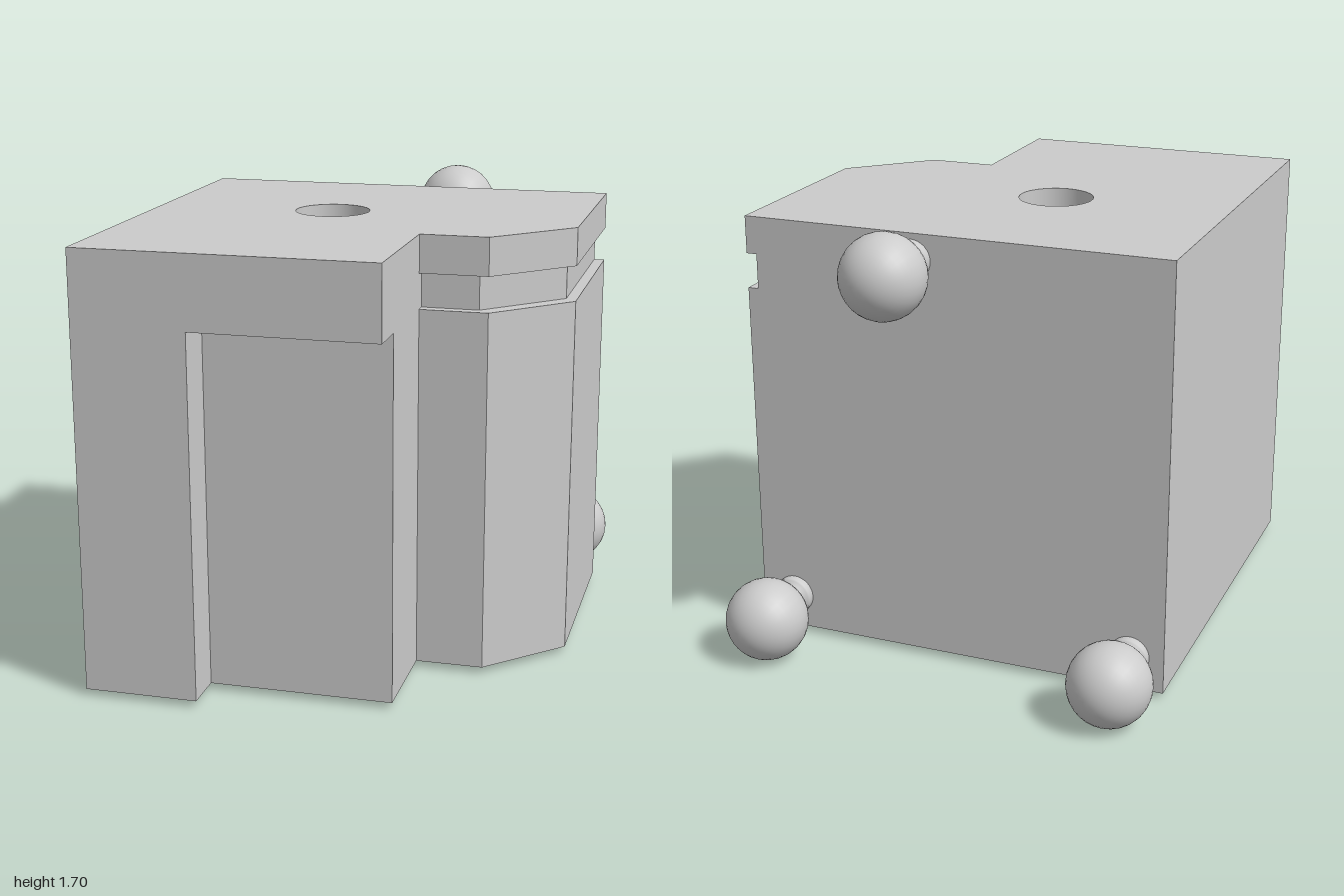
import * as THREE from 'three';

const BASE = 0.03, RECESS = 1.38, GROOVE_TOP = 1.51, TOP = 1.65;
const grey = new THREE.MeshStandardMaterial({ color: 0xcccccc });
const thin = new THREE.MeshStandardMaterial({ color: 0xcccccc, side: THREE.DoubleSide });

// Outlines are [x, z] corners, running from back left round the +x side to the front
const backAndChamfer = [[-0.81, -0.62], [0.81, -0.62], [0.81, 0.19], [0.54, 0.46], [0.29, 0.46]];
const topOutline = [...backAndChamfer, [0.29, 1], [-0.81, 1]];
const lowerOutline = [...backAndChamfer, [0.29, 0.84], [-0.39, 0.84], [-0.39, 1], [-0.81, 1]];
const grooveOutline = [[-0.81, -0.62], [0.77, -0.62], [0.77, 0.15], [0.5, 0.42], [0.29, 0.42], [0.29, 1], [-0.81, 1]];
const ledge = [[0.81, -0.62], [0.81, 0.19], [0.54, 0.46], [0.29, 0.46], [0.29, 0.42], [0.5, 0.42], [0.77, 0.15], [0.77, -0.62]];
const soffit = [[-0.39, 0.84], [0.29, 0.84], [0.29, 1], [-0.39, 1]];

const topHoles = [{ x: -0.14, z: 0.05, r: 0.14, depth: 0.5 }];
const bottomHoles = [
  { x: 0.27, z: -0.08, r: 0.08, depth: 0.4 },
  { x: -0.07, z: 0.33, r: 0.135, depth: 0.5 },
  { x: -0.4, z: -0.08, r: 0.107, depth: 0.4 },
];

function add(parent, name, geometry, material = grey) {
  const mesh = new THREE.Mesh(geometry, material);
  mesh.name = name;
  parent.add(mesh);
  return mesh;
}

// Vertical faces standing on an outline
function wall(outline, y0, y1) {
  const p = [];
  outline.forEach(([ax, az], i) => {
    const [bx, bz] = outline[(i + 1) % outline.length];
    p.push(ax, y0, az, ax, y1, az, bx, y1, bz, ax, y0, az, bx, y1, bz, bx, y0, bz);
  });
  const g = new THREE.BufferGeometry();
  g.setAttribute('position', new THREE.Float32BufferAttribute(p, 3));
  g.computeVertexNormals();
  return g;
}

// Horizontal face filling an outline, facing up (1) or down (-1)
function cap(outline, y, facing, holes = []) {
  const shape = new THREE.Shape(outline.map(([x, z]) => new THREE.Vector2(x, -facing * z)));
  for (const h of holes) {
    shape.holes.push(new THREE.Path().absarc(h.x, -facing * h.z, h.r, 0, Math.PI * 2, true));
  }
  return new THREE.ShapeGeometry(shape, 24).rotateX(-facing * Math.PI / 2).translate(0, y, 0);
}

// Blind drilled hole with a conical end
function drill(parent, name, h, y, dir) {
  const bore = new THREE.CylinderGeometry(h.r, h.r, h.depth, 48, 1, true);
  const tipHeight = h.r * 0.6;
  const tip = new THREE.ConeGeometry(h.r, tipHeight, 48, 1, true);
  if (dir < 0) tip.rotateX(Math.PI);
  const hole = new THREE.Group();
  hole.name = name;
  add(hole, 'bore', bore, thin).position.y = dir * h.depth / 2;
  add(hole, 'drillTip', tip, thin).position.y = dir * (h.depth + tipHeight / 2);
  hole.position.set(h.x, y, h.z);
  parent.add(hole);
}

export function createModel() {
  const model = new THREE.Group();
  model.name = 'block';

  // Body walls in three tiers, set in at the side groove and the front recess
  add(model, 'lowerWalls', wall(lowerOutline, BASE, RECESS));
  add(model, 'grooveWalls', wall(grooveOutline, RECESS, GROOVE_TOP));
  add(model, 'upperWalls', wall(topOutline, GROOVE_TOP, TOP));

  // Horizontal faces
  add(model, 'topFace', cap(topOutline, TOP, 1, topHoles));
  add(model, 'bottomFace', cap(lowerOutline, BASE, -1, bottomHoles));
  add(model, 'grooveFloor', cap(ledge, RECESS, 1));
  add(model, 'grooveCeiling', cap(ledge, GROOVE_TOP, -1));
  add(model, 'recessCeiling', cap(soffit, RECESS, -1));

  // Drilled holes
  topHoles.forEach((h) => drill(model, 'topHole', h, TOP, -1));
  bottomHoles.forEach((h) => drill(model, 'bottomHole', h, BASE, 1));

  // Ball feet on the back: collar, waisted neck and ball
  const neckProfile = [[0.075, 0], [0.075, 0.028], [0.068, 0.03], [0.043, 0.055], [0.043, 0.062], [0.055, 0.09]]
    .map(([r, h]) => new THREE.Vector2(r, h));
  const neckGeometry = new THREE.LatheGeometry(neckProfile, 32).rotateX(-Math.PI / 2);
  const ballGeometry = new THREE.SphereGeometry(0.155, 28, 20).rotateX(-Math.PI / 2);
  for (const [x, y] of [[-0.68, 0.16], [0.675, 0.16], [0.155, 1.553]]) {
    const foot = new THREE.Group();
    foot.name = 'ballFoot';
    foot.position.set(x, y, -0.62);
    add(foot, 'neck', neckGeometry, thin);
    add(foot, 'ball', ballGeometry).position.z = -0.225;
    model.add(foot);
  }
  return model;
}
